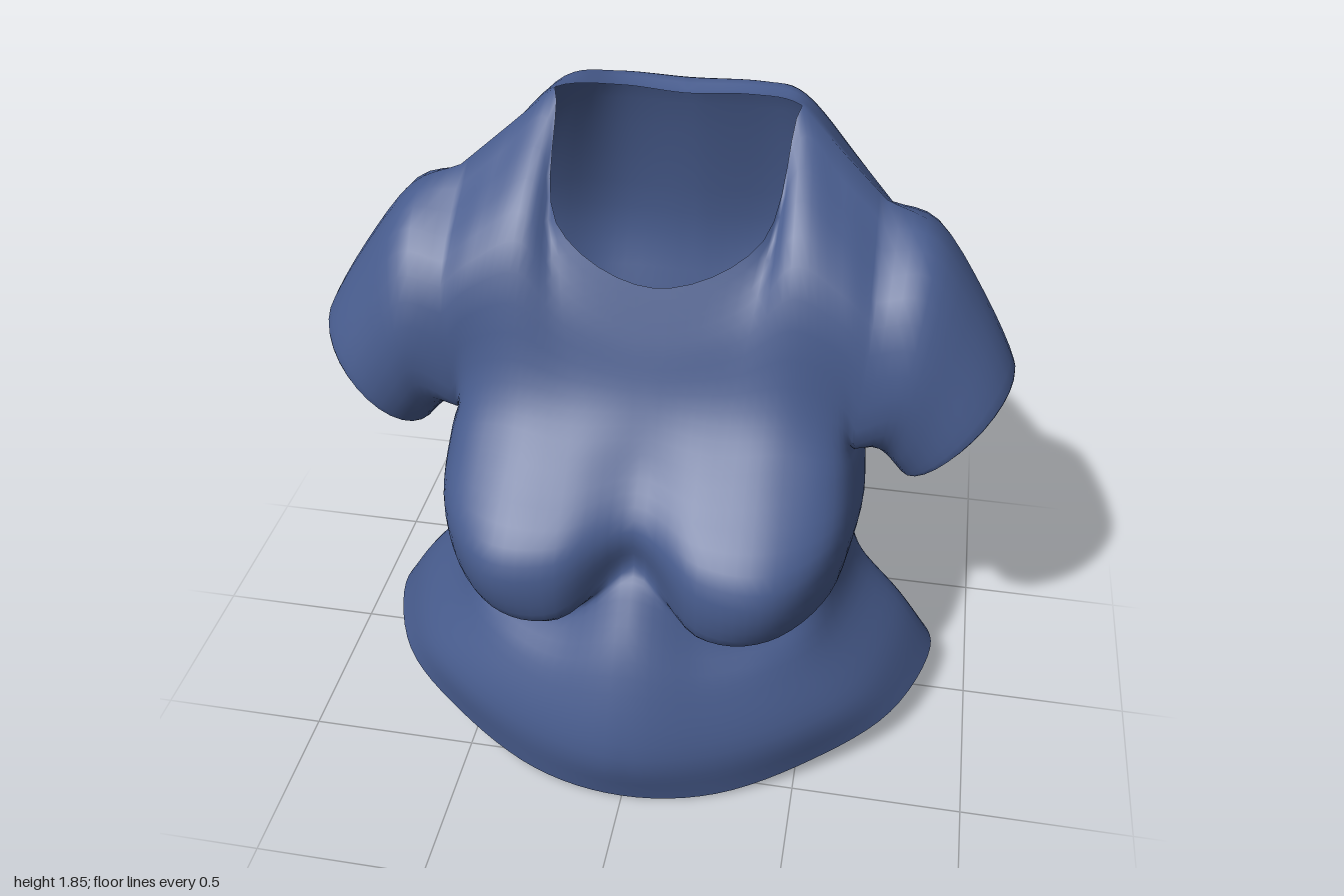
import * as THREE from 'three';
import { mergeGeometries, mergeVertices } from 'three/addons/utils/BufferGeometryUtils.js';

const V = (a) => new THREE.Vector3(...a);
const curve = (pts) => new THREE.CatmullRomCurve3(pts, false, 'catmullrom', 0.5);

const ROWS = 45, ARMPIT = 30; // rows from hem to collar, and the row where the sleeve begins
const COLS = 24;              // columns from the centre line to the side seam

// Side seam from hem to armpit
const seam = [[.88, .12, -.05], [.78, .28, -.05], [.64, .45, -.05], [.59, .6, -.03],
  [.6, .68, .01], [.62, .8, .03], [.6, .965, -.05]];
const tip = [.6, 1.645, -.17], shoulder = [.47, 1.75, -.22], collar = [.345, 1.85, -.28];

// Front profiles, centre outwards: hem, hip, waist, fold, bust, chest, neckline or shoulder
const front = [
  [[0, 0, .62], [0, .2, .655], [0, .45, .57], [0, .64, .45], [0, .72, .39],
    [0, .85, .4], [0, 1, .29], [0, 1.15, .2], [0, 1.3, .14], [0, 1.45, .08]],
  [[.28, .01, .57], [.27, .2, .59], [.22, .4, .53], [.2, .55, .43], [.2, .6, .52],
    [.2, .8, .52], [.2, .98, .34], [.21, 1.15, .2], [.25, 1.38, .11], [.285, 1.58, 0]],
  [[.55, .06, .43], [.52, .23, .46], [.42, .41, .42], [.39, .515, .34], [.4, .58, .485],
    [.41, .79, .52], [.4, 1, .31], [.39, 1.17, .19], [.37, 1.54, .06], collar],
  [[.77, .11, .24], [.69, .25, .27], [.56, .42, .25], [.54, .565, .2], [.555, .63, .31],
    [.565, .82, .34], [.56, .97, .23], [.53, 1.12, .16], [.51, 1.48, .08], shoulder],
  [...seam, [.58, 1.03, .13], [.6, 1.4, .1], tip],
];

// Back profiles, centre outwards, with matching rows; the last step folds in at the collar
const back = [
  [[0, .16, -.55], [0, .28, -.49], [0, .45, -.42], [0, .6, -.46], [0, .7, -.5],
    [0, .83, -.55], [0, 1, -.59], [0, 1.3, -.635], [0, 1.77, -.545], [0, 1.79, -.44]],
  [[.4, .155, -.48], [.36, .28, -.44], [.28, .45, -.39], [.27, .6, -.44], [.27, .7, -.48],
    [.27, .83, -.53], [.27, 1, -.58], [.25, 1.3, -.65], [.22, 1.775, -.54], [.19, 1.805, -.43]],
  [[.65, .145, -.36], [.58, .28, -.33], [.46, .45, -.31], [.43, .6, -.35], [.43, .7, -.38],
    [.44, .83, -.43], [.45, 1, -.48], [.42, 1.32, -.58], [.35, 1.78, -.46], collar],
  [[.82, .13, -.2], [.71, .28, -.19], [.58, .45, -.18], [.545, .6, -.2], [.55, .7, -.22],
    [.565, .82, -.24], [.56, .98, -.31], [.55, 1.24, -.5], [.51, 1.61, -.44], shoulder],
  [...seam, [.62, 1.08, -.33], [.62, 1.46, -.43], tip],
];

// Grid of points joined into a surface
function grid(nu, nv, point, flip) {
  const pos = [], index = [];
  for (let j = 0; j <= nv; j++) for (let i = 0; i <= nu; i++) pos.push(...point(i, j).toArray());
  for (let j = 0; j < nv; j++) for (let i = 0; i < nu; i++) {
    const a = j * (nu + 1) + i, b = a + 1, c = a + nu + 1, d = c + 1;
    index.push(...(flip ? [a, c, b, b, c, d] : [a, b, c, b, d, c]));
  }
  const g = new THREE.BufferGeometry();
  g.setAttribute('position', new THREE.Float32BufferAttribute(pos, 3));
  g.setIndex(index);
  return g;
}

// Body panel lofted across its profiles; below the armpit it runs smoothly on to the neighbour
function makePanel(profiles, neighbour) {
  const curves = profiles.map((p) => curve(p.map(V)));
  const beyond = curve(neighbour.map(V)), seamCurve = curve(seam.map(V));
  const edge = (j) => (j <= ARMPIT ? seamCurve.getPoint(j / ARMPIT) : curves[4].getPoint(j / ROWS));
  const across = [];
  for (let j = 0; j <= ROWS; j++) {
    const pts = curves.map((c, k) => (k === 4 ? edge(j) : c.getPoint(j / ROWS)));
    const mirrored = pts[1].clone();
    mirrored.x *= -1;
    if (j <= ARMPIT) pts.push(beyond.getPoint(j / ROWS));
    across.push(curve([mirrored, ...pts]));
  }
  const point = (i, j) => {
    const u = (i / COLS) * 4;
    if (j === ROWS && u >= 2) { // straight shoulder line, the same on both panels
      return u < 3 ? V(collar).lerp(V(shoulder), u - 2) : V(shoulder).lerp(V(tip), u - 3);
    }
    return across[j].getPoint((1 + u) / (across[j].points.length - 1));
  };
  return { point, edge };
}

// Sleeve ring through its bottom and top points, with front and back depth
function sleeveRing(bottom, top, zFront, zBack, t) {
  const p = V(bottom).lerp(V(top), (1 - Math.cos(t)) / 2);
  const s = Math.sin(t), zMid = (bottom[2] + top[2]) / 2;
  p.z += s > 0 ? s * (zFront - zMid) : -s * (zBack - zMid);
  return p;
}

// Sleeve from the armhole to the cuff, with a narrow lip turned inwards
function makeSleeve(f, b) {
  const half = ROWS - ARMPIT, lines = [];
  for (let k = 0; k <= 2 * half; k++) {
    const t = (k / half) * Math.PI;
    lines.push(curve([
      k <= half ? f.edge(ARMPIT + k) : b.edge(ROWS - (k - half)),
      sleeveRing([.66, .925, -.06], [.75, 1.575, -.16], .15, -.385, t),
      sleeveRing([.69, .895, -.05], [.895, 1.39, -.12], .15, -.33, t),
      sleeveRing([.71, .87, -.05], [1, 1.21, -.08], .15, -.27, t),
      sleeveRing([.69, .905, -.05], [.965, 1.2, -.08], .125, -.245, t),
    ]));
  }
  return grid(16, 2 * half, (i, k) => lines[k].getPoint(i / 16), false);
}

// Mirror image with the corner order reversed
function mirror(g) {
  const m = g.clone().scale(-1, 1, 1);
  const a = m.index.array;
  for (let i = 0; i < a.length; i += 3) [a[i + 1], a[i + 2]] = [a[i + 2], a[i + 1]];
  return m;
}

export function createModel() {
  const group = new THREE.Group();
  group.name = 'shirt';
  const fabric = new THREE.MeshStandardMaterial({ color: 0x475b8c, side: THREE.DoubleSide });
  fabric.name = 'blue fabric';

  // Front, back and sleeve of one side, mirrored and welded into one smooth cloth
  const f = makePanel(front, back[3]), b = makePanel(back, front[3]);
  const side = mergeGeometries([
    grid(COLS, ROWS, f.point, false),
    grid(COLS, ROWS, b.point, true),
    makeSleeve(f, b),
  ]);
  const cloth = mergeVertices(mergeGeometries([side, mirror(side)]), 1e-4);
  cloth.computeVertexNormals();

  const mesh = new THREE.Mesh(cloth, fabric);
  mesh.name = 'shirtBodyAndSleeves';
  group.add(mesh);
  return group;
}
